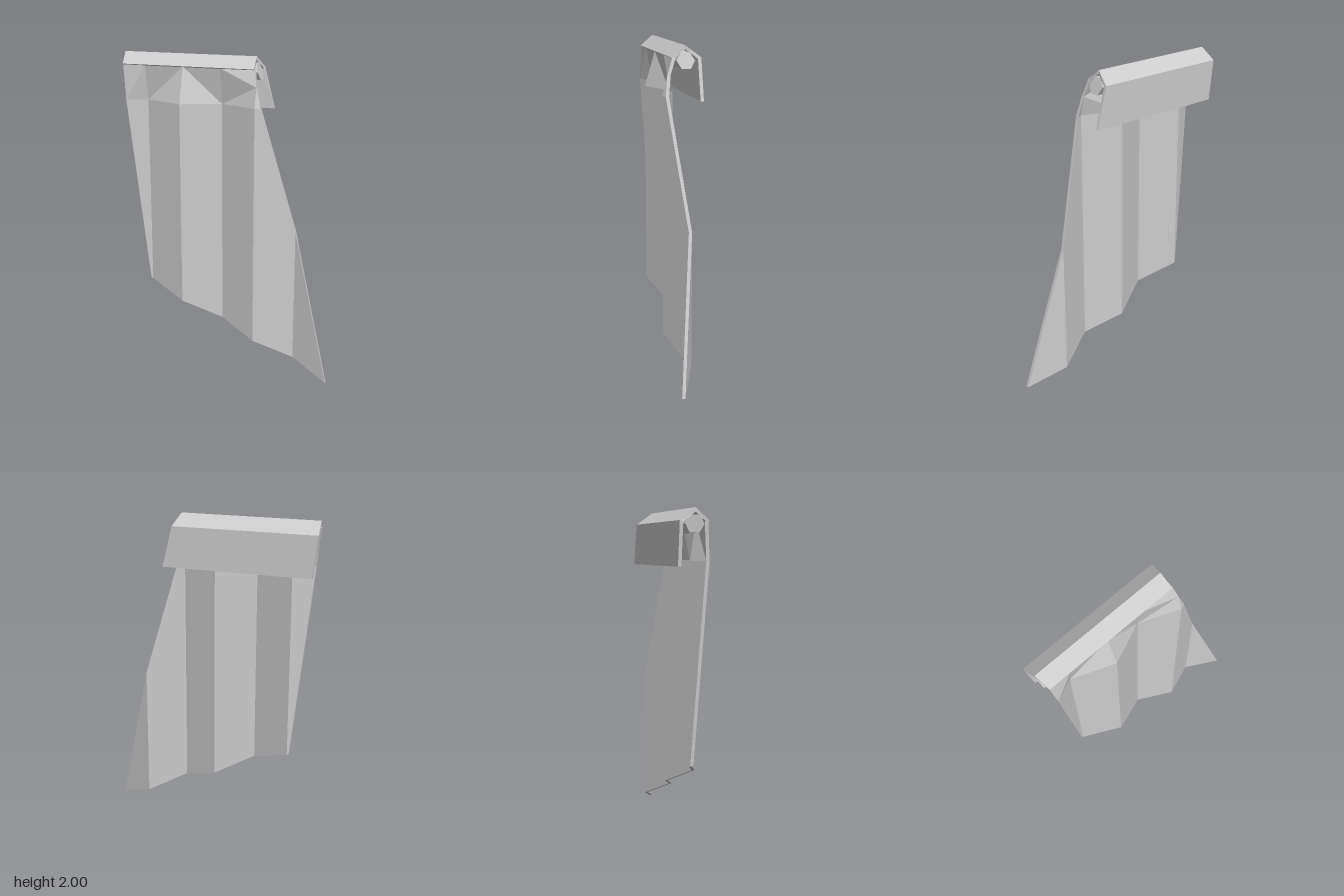
import * as THREE from 'three';

// Thick faceted sheet: outer vertices [x, y, z], inner offset [dy, dz] per vertex,
// convex polygon faces, with walls added along every open edge.
function sheet(points, offset, faces) {
  const outer = points.map(p => new THREE.Vector3(...p));
  const inner = outer.map((p, i) => {
    const [dy, dz] = offset(i);
    return new THREE.Vector3(p.x, p.y + dy, p.z + dz);
  });
  const pos = [];
  const tri = (a, b, c) => pos.push(...a.toArray(), ...b.toArray(), ...c.toArray());
  const edges = new Set();
  for (const f of faces) {
    f.forEach((a, k) => edges.add(a + '_' + f[(k + 1) % f.length]));
    for (let k = 1; k < f.length - 1; k++) {
      tri(outer[f[0]], outer[f[k]], outer[f[k + 1]]);
      tri(inner[f[0]], inner[f[k + 1]], inner[f[k]]);
    }
  }
  for (const e of edges) {
    const [a, b] = e.split('_').map(Number);
    if (edges.has(b + '_' + a)) continue;
    tri(outer[a], inner[a], inner[b]);
    tri(outer[a], inner[b], outer[b]);
  }
  const g = new THREE.BufferGeometry();
  g.setAttribute('position', new THREE.Float32BufferAttribute(pos, 3));
  g.computeVertexNormals();
  return g;
}

export function createModel() {
  const group = new THREE.Group();
  group.name = 'curtain';
  const grey = new THREE.MeshStandardMaterial({ color: 0xcccccc });
  grey.name = 'light grey cloth';
  const add = (name, geometry) => {
    const mesh = new THREE.Mesh(geometry, grey);
    mesh.name = name;
    group.add(mesh);
  };

  // Pleated hanging cloth: slanted hem, ends of the folds, gathered top, right edge
  const cloth = [
    [-0.53, 0.52, 0.024], [-0.52, 0.515, 0.02], [-0.27, 0.425, 0.12], [-0.03, 0.305, 0.02],
    [0.21, 0.215, 0.12], [0.45, 0.095, 0.02], [0.69, 0, 0.12],
    [-0.648, 1.71, 0.073], [-0.52, 1.71, 0.02], [-0.27, 1.71, 0.12], [-0.03, 1.71, 0.02], [0.21, 1.71, 0.12],
    [-0.67, 1.93, 0.055], [-0.52, 1.93, 0.055], [-0.27, 1.93, 0.055], [-0.03, 1.93, 0.055], [0.19, 1.93, 0.055],
    [0.21, 1.83, 0.09], [0.242, 1.71, 0.107], [0.45, 0.94, 0.02],
  ];
  add('pleatedCloth', sheet(cloth, () => [0, -0.02], [
    [0, 1, 8, 7], [1, 2, 9, 8], [2, 3, 10, 9], [3, 4, 11, 10], [4, 5, 19, 18, 11], [5, 6, 19], [11, 18, 17],
    [7, 8, 13], [7, 13, 12], [8, 9, 14], [8, 14, 13], [9, 10, 14], [10, 15, 14],
    [10, 11, 17], [10, 17, 15], [15, 17, 16],
  ]));

  // Cloth folded over the rod, with a flap at the back: left x, right x, y, z, inner dy, inner dz
  const rows = [
    [-0.67, 0.185, 1.932, 0.062, -0.012, -0.014],
    [-0.69, 0.175, 2, -0.025, -0.024, 0],
    [-0.70, 0.2, 1.93, -0.118, -0.01, 0.02],
    [-0.67, 0.265, 1.68, -0.118, 0, 0.02],
  ];
  const fold = rows.flatMap(([l, r, y, z]) => [[l, y, z], [r, y, z]]);
  add('foldOverRod', sheet(fold, i => rows[i >> 1].slice(4),
    [0, 2, 4].map(i => [i, i + 1, i + 3, i + 2])));

  // Six-sided rod with slanted ends
  const rod = new THREE.CylinderGeometry(0.055, 0.055, 1, 6).toNonIndexed();
  rod.rotateZ(-Math.PI / 2);
  const p = rod.attributes.position;
  for (let i = 0; i < p.count; i++) {
    const y = p.getY(i);
    p.setX(i, p.getX(i) > 0 ? 0.197 - 0.3 * y : -0.682 - 0.15 * y);
  }
  rod.computeVertexNormals();
  rod.translate(0, 1.912, -0.025);
  add('rod', rod);

  return group;
}
